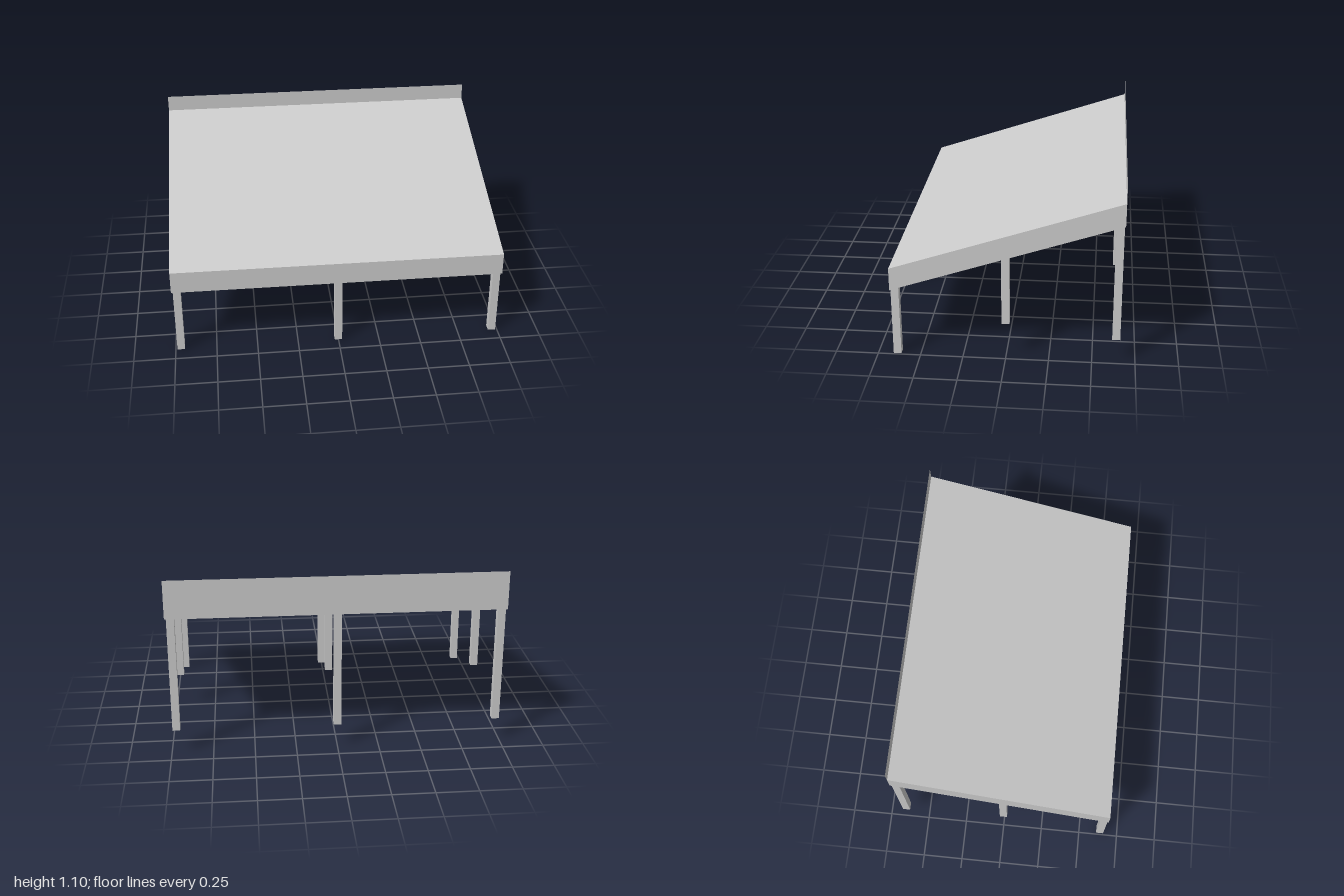
import * as THREE from 'three';

const HALF_W = 1, HALF_D = 0.665, THICK = 0.137;
// Height of the sloping roof underside at depth z
const underside = z => 0.642 - 0.335 * z;

export function createModel() {
  const group = new THREE.Group();
  group.name = 'canopy';
  const grey = new THREE.MeshStandardMaterial({ color: 0xcccccc, side: THREE.DoubleSide });
  grey.name = 'light grey';

  const add = (name, geometry) => {
    const mesh = new THREE.Mesh(geometry, grey);
    mesh.name = name;
    group.add(mesh);
    return mesh;
  };

  // Sloping roof slab: side profile in (z, y), extruded across the width
  const profile = new THREE.Shape([
    new THREE.Vector2(HALF_D, underside(HALF_D)),
    new THREE.Vector2(HALF_D, underside(HALF_D) + THICK),
    new THREE.Vector2(-HALF_D, underside(-HALF_D) + THICK),
    new THREE.Vector2(-HALF_D, underside(-HALF_D)),
  ]);
  const slab = new THREE.ExtrudeGeometry(profile, { depth: 2 * HALF_W, bevelEnabled: false });
  slab.translate(0, 0, -HALF_W).rotateY(-Math.PI / 2);
  add('roofSlab', slab);

  // Thin upright board along the high back edge
  const bottom = underside(-HALF_D), top = 1.1;
  const board = new THREE.PlaneGeometry(2 * HALF_W, top - bottom).rotateY(Math.PI);
  add('backBoard', board).position.set(0, (top + bottom) / 2, -HALF_D - 0.001);

  // Hollow square post, its top cut to the slope of the roof
  const post = (x, z, base) => {
    const geo = new THREE.BoxGeometry(0.046, 1, 0.046).translate(x, 0, z);
    const pos = geo.attributes.position;
    for (let i = 0; i < pos.count; i++) {
      pos.setY(i, pos.getY(i) > 0 ? underside(pos.getZ(i)) : base);
    }
    // Keep the four walls, drop the end caps
    const index = Array.from(geo.index.array);
    geo.setIndex([...index.slice(0, 12), ...index.slice(24)]);
    geo.clearGroups();
    return geo;
  };

  // Three rows of three posts, standing on stepped ground
  const rows = [['front', 0.637, 0], ['middle', 0, 0.225], ['back', -0.637, 0.15]];
  const columns = [['Right', -0.967], ['Centre', 0], ['Left', 0.967]];
  for (const [row, z, base] of rows) {
    for (const [column, x] of columns) add(`${row}${column}Post`, post(x, z, base));
  }
  return group;
}
